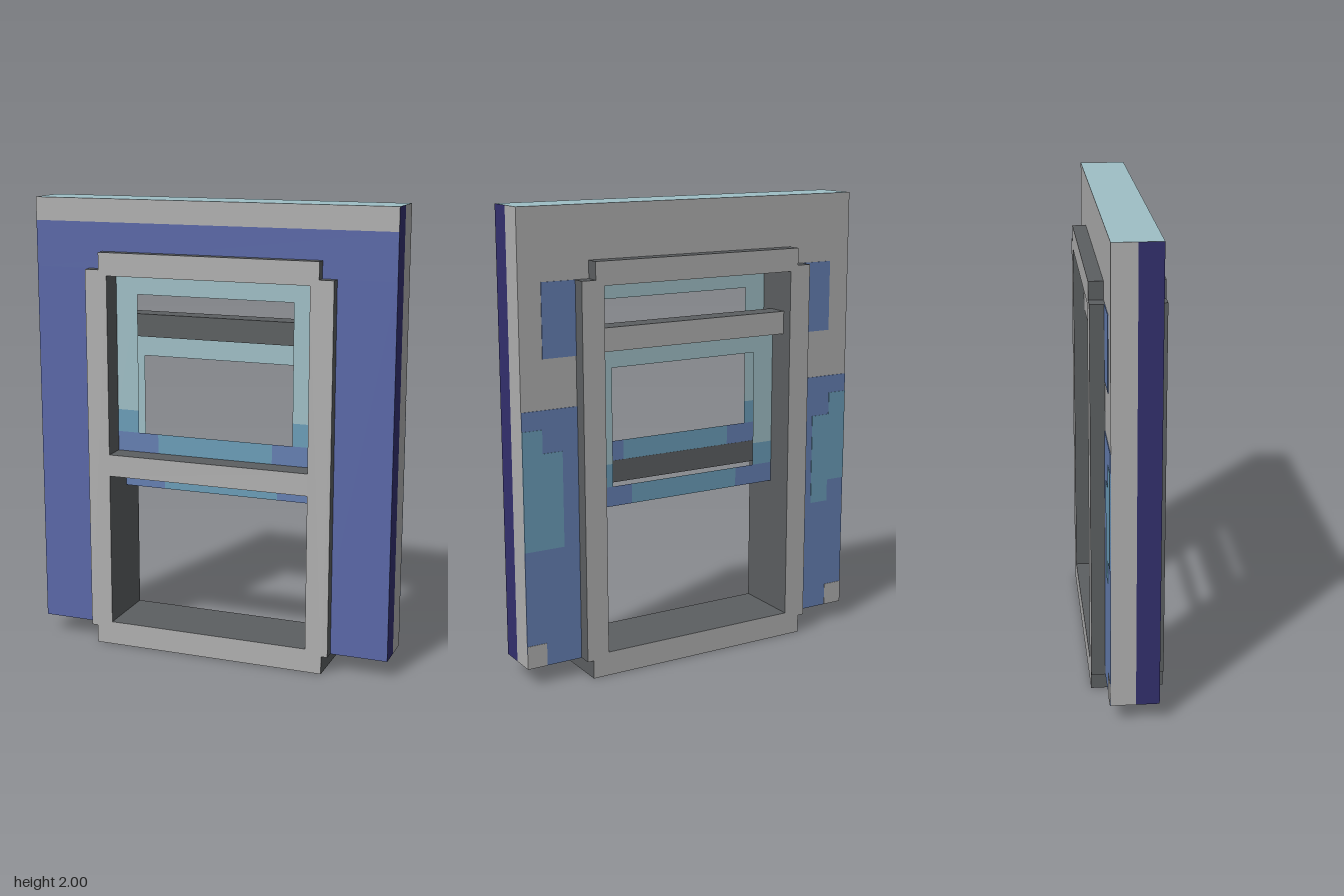
import * as THREE from 'three';

const mat = (name, color, side = THREE.FrontSide) => {
  const m = new THREE.MeshStandardMaterial({ color, side });
  m.name = name;
  return m;
};

export function createModel() {
  const lightGray = mat('light gray', 0xb0b0b0);
  const darkGray = mat('dark gray', 0x5c5f61);
  const wallBlue = mat('wall blue', 0x5a68a8);
  const navy = mat('navy', 0x33306e);
  const paleTeal = mat('pale teal', 0x9fbfc6, THREE.DoubleSide);
  const midTeal = mat('mid teal', 0x6b9db8, THREE.DoubleSide);
  const softBlue = mat('soft blue', 0x657fb2, THREE.DoubleSide);

  const model = new THREE.Group();

  // Box from its limits; materials are one, or [+x, -x, +y, -y, +z, -z]
  function box(name, [x0, x1], [y0, y1], [z0, z1], material, parent = model) {
    const mesh = new THREE.Mesh(new THREE.BoxGeometry(x1 - x0, y1 - y0, z1 - z0), material);
    mesh.position.set((x0 + x1) / 2, (y0 + y1) / 2, (z0 + z1) / 2);
    mesh.name = name;
    parent.add(mesh);
  }
  const span = (side, a, b) => (side > 0 ? [a, b] : [-b, -a]);

  // Wall: a front and a back layer, open in the middle
  const W = 0.81, zBack = -0.092, zMid = 0.01, zFront = 0.107;
  const wall = new THREE.Group();
  wall.name = 'wall';
  model.add(wall);
  const faces = (edge, front) => [edge, edge, paleTeal, darkGray, front, lightGray];
  for (const [layer, z, edge, front] of [
    ['Front', [zMid, zFront], navy, wallBlue],
    ['Back', [zBack, zMid], lightGray, lightGray],
  ]) {
    for (const s of [1, -1]) box('wallSide' + layer, span(s, 0.5, W), [0.08, 1.7], z, faces(edge, front), wall);
    box('wallHead' + layer, [-W, W], [1.7, 1.9], z, faces(edge, front), wall);
    box('wallTopBand' + layer, [-W, W], [1.9, 2], z, faces(edge, lightGray), wall);
  }

  // Painted patches on the back of the wall
  for (const s of [1, -1]) {
    const patch = (name, a, b, y, t, m) =>
      box(name, span(s, a, b), y, [zBack - t, zBack], m, wall);
    patch('upperBluePatch', 0.54, 0.71, [1.39, 1.7], 0.003, softBlue);
    patch('lowerBluePatch', 0.54, W, [0.08, 1.18], 0.003, softBlue);
    patch('grayCorner', 0.72, W, [0.08, 0.18], 0.005, lightGray);
    patch('outerTealPatch', 0.72, W, [s > 0 ? 0.59 : 0.69, 1.1], 0.005, midTeal);
    patch('innerTealPatch', 0.63, 0.72, [0.59, 1.0], 0.005, midTeal);
  }

  // Window frame with stepped corners
  const D = 0.153, IN = 0.457, sill = 0.105, head = 1.675;
  const half = [[0.53, 0], [0.53, 0.08], [0.558, 0.08], [0.558, 1.7], [0.495, 1.7], [0.495, 1.775]];
  const outline = [...half, ...half.map(([x, y]) => [-x, y]).reverse()];
  const shape = new THREE.Shape(outline.map(([x, y]) => new THREE.Vector2(x, y)));
  shape.holes.push(new THREE.Path(
    [[-IN, sill], [-IN, head], [IN, head], [IN, sill]].map(([x, y]) => new THREE.Vector2(x, y))));
  const frameGeo = new THREE.ExtrudeGeometry(shape, { depth: 2 * D, bevelEnabled: false });
  frameGeo.translate(0, 0, -D);
  const frame = new THREE.Mesh(frameGeo, [lightGray, darkGray]);
  frame.name = 'windowFrame';
  model.add(frame);

  // Cross rails of the two sashes
  box('frontRail', [-IN, IN], [0.788, 0.885], [0.052, D],
    [darkGray, darkGray, darkGray, darkGray, lightGray, darkGray]);
  box('backRail', [-IN, IN], [1.395, 1.495], [-0.104, -0.004],
    [darkGray, darkGray, darkGray, darkGray, darkGray, lightGray]);

  // Sash panel: a flat border around an open pane, darker at the bottom
  function sash(name, y0, y1, z) {
    const g = new THREE.Group();
    g.name = name;
    const b = 0.087, open = 0.357, mid = 0.265;
    const plate = (part, x, y, m) => {
      const p = new THREE.Mesh(new THREE.PlaneGeometry(x[1] - x[0], y[1] - y[0]), m);
      p.position.set((x[0] + x[1]) / 2, (y[0] + y[1]) / 2, z);
      p.name = part;
      g.add(p);
    };
    plate('topBorder', [-IN, IN], [y1 - b, y1], paleTeal);
    plate('bottomBorder', [-mid, mid], [y0, y0 + b], midTeal);
    for (const s of [1, -1]) {
      plate('bottomCorner', span(s, mid, IN), [y0, y0 + b], softBlue);
      plate('lowerStile', span(s, open, IN), [y0 + b, y0 + b + 0.1], midTeal);
      plate('stile', span(s, open, IN), [y0 + b + 0.1, y1 - b], paleTeal);
    }
    model.add(g);
  }
  sash('upperSash', 0.885, head, 0.053);
  sash('lowerSash', 0.705, 1.395, -0.02);

  return model;
}
